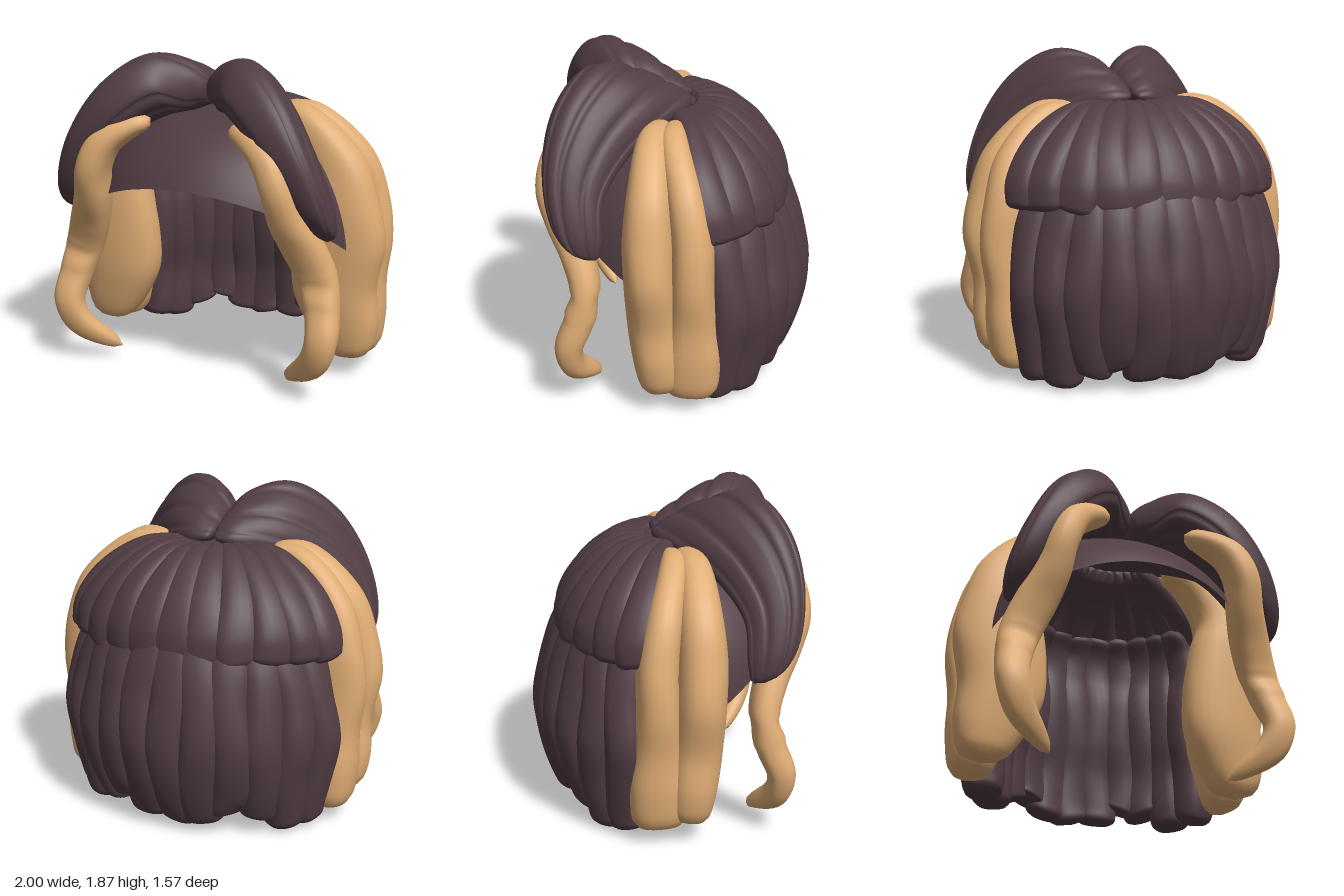
import * as THREE from 'three';

const V = (p) => new THREE.Vector3(...p);
const soft = (v) => Math.sign(v) * Math.abs(v) ** 0.85;

// Lofts a closed tapering lock through stations [edge A, edge B, half width across]
function lockGeometry(stations, { segs = 24, steps = 44, fat = 0, ridges = 0 } = {}) {
  const edgeA = new THREE.CatmullRomCurve3(stations.map((s) => V(s[0])));
  const edgeB = new THREE.CatmullRomCurve3(stations.map((s) => V(s[1])));
  const widths = new THREE.CatmullRomCurve3(stations.map((s) => new THREE.Vector3(s[2], 0, 0)));
  const mid = (t) => edgeA.getPoint(t).add(edgeB.getPoint(t)).multiplyScalar(0.5);
  const pos = [], index = [];
  for (let i = 0; i <= steps; i++) {
    const t = i / steps;
    // round off both ends
    let k = 1;
    if (t < 0.05) k = Math.sqrt(1 - (1 - t / 0.05) ** 2);
    if (t > 0.92) k = Math.sqrt(1 - Math.min(1, (t - 0.92) / 0.08) ** 3);
    const c = mid(t);
    const d = edgeA.getPoint(t).sub(c);
    const tangent = mid(Math.min(1, t + 0.01)).sub(mid(Math.max(0, t - 0.01)));
    const w = tangent.cross(d).normalize().multiplyScalar(widths.getPoint(t).x);
    for (let j = 0; j < segs; j++) {
      const a = (j / segs) * Math.PI * 2;
      const groove = ridges ? 1 - 0.15 * (1 - Math.abs(Math.sin(ridges * a))) ** 2 : 1;
      const p = c.clone()
        .addScaledVector(d, soft(Math.cos(a)) * k)
        .addScaledVector(w, soft(Math.sin(a)) * (1 + fat * Math.cos(a)) * groove * k);
      pos.push(p.x, p.y, p.z);
      if (i < steps) {
        const q = i * segs + j, r = i * segs + ((j + 1) % segs);
        index.push(q, r, q + segs, r, r + segs, q + segs);
      }
    }
  }
  return makeGeometry(pos, index);
}

function makeGeometry(pos, index) {
  const g = new THREE.BufferGeometry();
  g.setAttribute('position', new THREE.Float32BufferAttribute(pos, 3));
  g.setIndex(index);
  g.computeVertexNormals();
  return g;
}

// Thin scalp shell with an arched hairline dipping to a point at each temple
function capGeometry() {
  const pos = [], index = [], around = 96, down = 24, tip = 1.24;
  for (let i = 0; i <= down; i++) {
    for (let j = 0; j < around; j++) {
      const a = (j / around) * Math.PI * 2 - Math.PI;
      const b = Math.abs(a);
      const rim = b < tip ? 1.18 - 0.38 * (b / tip) ** 2
        : 0.8 + 0.38 * Math.min(1, (b - tip) / 0.7);
      const phi = (i / down) * Math.acos((rim - 0.8) / 0.77);
      const r = Math.sin(phi) ** 0.8;
      const rz = Math.cos(a) > 0 ? 0.84 : 0.54;
      pos.push(0.88 * Math.sin(a) * r, 0.8 + 0.77 * Math.cos(phi), rz * Math.cos(a) * r);
      if (i < down) {
        const q = i * around + j, s = i * around + ((j + 1) % around);
        index.push(q, q + around, s, s, q + around, s + around);
      }
    }
  }
  return makeGeometry(pos, index);
}

// Mirrors stations to the other side of x = 0
const mirror = (stations, side) =>
  stations.map(([a, b, w]) => [[a[0] * side, a[1], a[2]], [b[0] * side, b[1], b[2]], w]);

// Places a radial profile [outer s, y, inner s, y, half width] at one angle round the back
function radial(profile, angle, rx, rz) {
  const k = 1.18 * Math.hypot(Math.cos(angle), 0.85 * Math.sin(angle));
  return profile.map(([so, yo, si, yi, w], n) => {
    const bend = angle + 0.02 * Math.sin(n * 1.9 + angle * 9);
    const at = (s, y) => [rx * s * Math.sin(bend), y, 0.1 - rz * s * Math.cos(bend)];
    return [at(so, yo), at(si, yi), w * k];
  });
}

const FRINGE = [
  [[-0.02, 1.65, 0.36], [-0.01, 1.61, -0.05], 0.05],
  [[0.09, 1.72, 0.47], [0.13, 1.59, -0.05], 0.13],
  [[0.24, 1.78, 0.59], [0.31, 1.53, 0.09], 0.155],
  [[0.44, 1.65, 0.7], [0.51, 1.41, 0.28], 0.14],
  [[0.62, 1.4, 0.74], [0.69, 1.24, 0.4], 0.105],
  [[0.75, 1.12, 0.69], [0.78, 1.04, 0.41], 0.075],
  [[0.79, 0.95, 0.58], [0.79, 0.9, 0.43], 0.05],
];

const STRAND = [
  [[0.28, 1.57, 0.57], [0.22, 1.49, 0.57], 0.05],
  [[0.45, 1.51, 0.62], [0.33, 1.42, 0.62], 0.09],
  [[0.58, 1.42, 0.66], [0.42, 1.34, 0.66], 0.11],
  [[0.65, 1.28, 0.67], [0.48, 1.2, 0.67], 0.12],
  [[0.7, 1.1, 0.63], [0.5, 1.05, 0.63], 0.11],
  [[0.78, 0.93, 0.56], [0.55, 0.87, 0.56], 0.095],
  [[0.85, 0.74, 0.515], [0.62, 0.7, 0.515], 0.085],
  [[0.88, 0.55, 0.55], [0.68, 0.54, 0.55], 0.085],
  [[0.89, 0.38, 0.61], [0.71, 0.39, 0.61], 0.08],
  [[0.82, 0.2, 0.59], [0.67, 0.28, 0.59], 0.065],
  [[0.54, 0.03, 0.46], [0.52, 0.12, 0.46], 0.045],
];

const SIDE_FRONT = [
  [[0.32, 1.59, 0.08], [0.33, 1.5, 0.09], 0.05],
  [[0.55, 1.58, 0.14], [0.45, 1.42, 0.14], 0.09],
  [[0.85, 1.33, 0.155], [0.55, 1.2, 0.155], 0.125],
  [[0.96, 1.05, 0.16], [0.5, 1.02, 0.16], 0.145],
  [[1.0, 0.83, 0.15], [0.45, 0.72, 0.15], 0.15],
  [[0.95, 0.55, 0.13], [0.46, 0.48, 0.13], 0.155],
  [[0.96, 0.33, 0.11], [0.56, 0.27, 0.11], 0.14],
  [[0.92, 0.11, 0.09], [0.68, 0.1, 0.09], 0.11],
];

const SIDE_BACK = [
  [[0.32, 1.59, 0.02], [0.34, 1.5, 0.02], 0.04],
  [[0.55, 1.58, 0.03], [0.46, 1.42, 0.03], 0.08],
  [[0.84, 1.33, -0.04], [0.62, 1.2, -0.04], 0.1],
  [[0.94, 1.05, -0.08], [0.62, 1.02, -0.08], 0.115],
  [[0.97, 0.8, -0.08], [0.58, 0.75, -0.08], 0.125],
  [[0.94, 0.55, -0.08], [0.58, 0.5, -0.08], 0.145],
  [[0.94, 0.33, -0.08], [0.62, 0.3, -0.08], 0.165],
  [[0.91, 0.07, -0.07], [0.68, 0.05, -0.07], 0.155],
];

const UPPER_BACK = [
  [0.22, 1.6, 0.24, 1.5, 0.04],
  [0.5, 1.58, 0.42, 1.42, 0.075],
  [0.8, 1.41, 0.62, 1.25, 0.11],
  [0.96, 1.2, 0.75, 1.1, 0.128],
  [0.985, 1.03, 0.78, 1.0, 0.125],
];

const lowerBack = (end, flare) => [
  [0.64, 1.3, 0.52, 1.24, 0.08],
  [0.8, 1.15, 0.61, 1.12, 0.11],
  [0.88, 1.02, 0.63, 0.98, 0.12],
  [0.95, 0.82, 0.6, 0.8, 0.122],
  [0.995, 0.58, 0.61, 0.55, 0.126],
  [0.96, 0.36, 0.65, 0.34, 0.122],
  [0.88 + flare / 2, 0.14 + end * 0.5, 0.65, 0.12 + end * 0.5, 0.112],
  [0.81 + flare, end, 0.63 + flare / 2, end, 0.1],
];

export function createModel() {
  const dark = new THREE.MeshStandardMaterial({ color: 0x513d43 });
  dark.name = 'darkPlumHair';
  const shell = new THREE.MeshStandardMaterial({ color: 0x513d43, side: THREE.DoubleSide });
  shell.name = 'darkPlumScalp';
  const tan = new THREE.MeshStandardMaterial({ color: 0xdfac74 });
  tan.name = 'tanHair';

  const model = new THREE.Group();
  model.name = 'wig';
  const add = (name, geometry, material) => {
    const mesh = new THREE.Mesh(geometry, material);
    mesh.name = name;
    model.add(mesh);
  };

  add('scalpCap', capGeometry(), shell);

  // Paired fringe lobes, face strands and side locks
  for (const [label, side] of [['left', 1], ['right', -1]]) {
    add(label + 'Fringe', lockGeometry(mirror(FRINGE, side), { segs: 80, fat: 0.4, ridges: 5 }), dark);
    add(label + 'FaceStrand', lockGeometry(mirror(STRAND, side), { steps: 60 }), tan);
    add(label + 'FrontSideLock', lockGeometry(mirror(SIDE_FRONT, side)), tan);
    add(label + 'RearSideLock', lockGeometry(mirror(SIDE_BACK, side)), tan);
  }

  // Two tiers of locks fanned round the back
  const ends = [0.03, 0.04, 0.12, 0.08, 0, 0.02];
  for (let i = -5; i <= 5; i++) {
    add('upperBackLock', lockGeometry(radial(UPPER_BACK, i * 0.228, 0.95, 0.75)), dark);
    const angle = i * 0.215;
    const profile = lowerBack(ends[Math.abs(i)], 0.08 * Math.abs(Math.sin(angle)));
    add('lowerBackLock', lockGeometry(radial(profile, angle, 0.98, 0.88)), dark);
  }
  return model;
}
